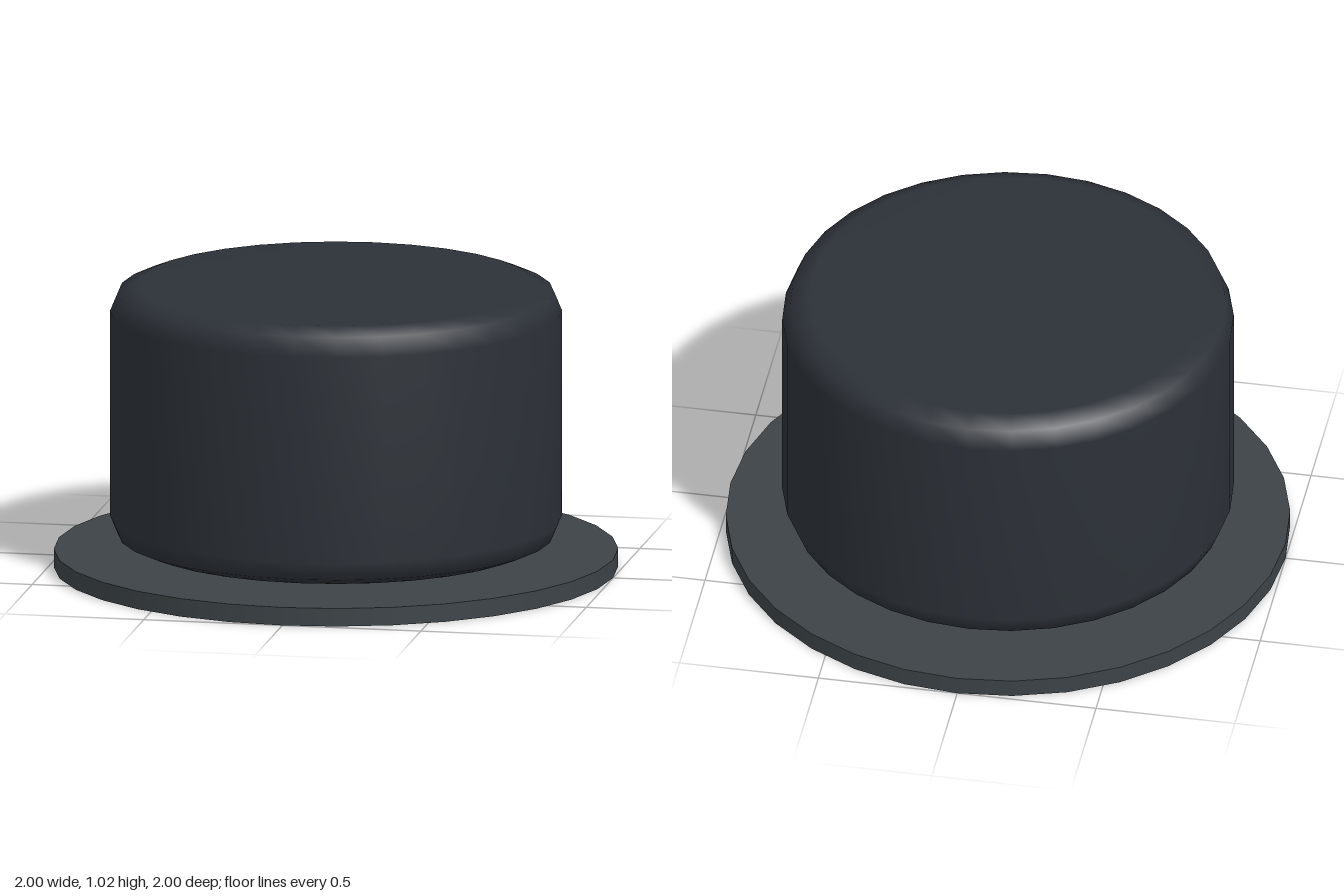
import * as THREE from 'three';

const SIDES = 32;

function addPart(group, name, geometry, color) {
  const mesh = new THREE.Mesh(geometry, new THREE.MeshStandardMaterial({ color }));
  mesh.name = name;
  group.add(mesh);
  return mesh;
}

// Closed cylinder profile with both rims rounded, listed from bottom to top
function roundedProfile(radius, bottom, top, bevel, steps) {
  const points = [new THREE.Vector2(0, bottom)];
  for (const [y, start] of [[bottom + bevel, -Math.PI / 2], [top - bevel, 0]]) {
    for (let i = 0; i <= steps; i++) {
      const a = start + (i / steps) * Math.PI / 2;
      points.push(new THREE.Vector2(radius - bevel + bevel * Math.cos(a), y + bevel * Math.sin(a)));
    }
  }
  points.push(new THREE.Vector2(0, top));
  return points;
}

export function createModel() {
  const hat = new THREE.Group();
  hat.name = 'hat';

  // Flat disc brim
  const brim = addPart(hat, 'brim', new THREE.CylinderGeometry(1, 1, 0.065, SIDES), 0x3c4347);
  brim.position.y = 0.0325;

  // Crown with rounded rims, floating just above the brim
  addPart(hat, 'crown', new THREE.LatheGeometry(roundedProfile(0.8, 0.09, 1.025, 0.095, 2), SIDES), 0x2c3138);

  return hat;
}
